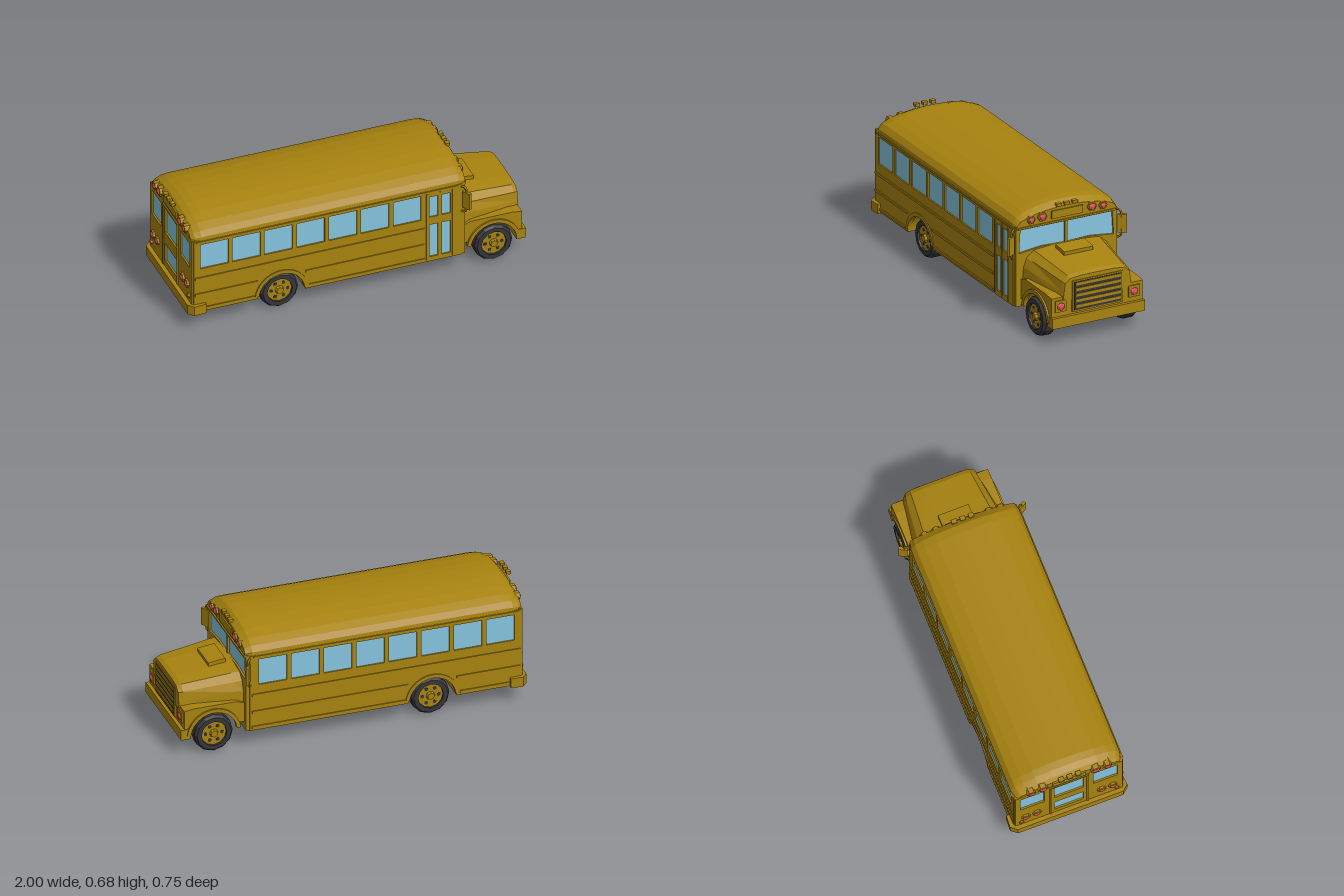
import * as THREE from 'three';

const mat = (color) => new THREE.MeshStandardMaterial({ color, flatShading: true });

export function createModel() {
  const bus = new THREE.Group();
  bus.name = 'schoolBus';
  const yellow = mat(0xa8830f), glass = mat(0x86c4de), dark = mat(0x36363b), red = mat(0xe0505c);

  const add = (name, geo, m = yellow, x = 0, y = 0, z = 0, parent = bus) => {
    const mesh = new THREE.Mesh(geo, m);
    mesh.name = name;
    mesh.position.set(x, y, z);
    parent.add(mesh);
    return mesh;
  };
  // Box given by its limits on each axis
  const box = (name, x0, x1, y0, y1, z0, z1, m = yellow) =>
    add(name, new THREE.BoxGeometry(x1 - x0, y1 - y0, z1 - z0), m, (x0 + x1) / 2, (y0 + y1) / 2, (z0 + z1) / 2);
  const poly = (pts) => new THREE.Shape(pts.map((p) => new THREE.Vector2(...p)));
  const rect = (a0, a1, b0, b1) => poly([[a0, b0], [a1, b0], [a1, b1], [a0, b1]]);
  const extrude = (shape, depth) => new THREE.ExtrudeGeometry(shape, { depth, bevelEnabled: false, curveSegments: 10 });
  // Skin through mirrored cross-sections: [x, [[z, y], ...]] from the lower edge up to the middle
  const loft = (stations) => {
    const rings = stations.map(([x, half]) =>
      [...half, ...half.slice().reverse().map(([z, y]) => [-z, y])].map(([z, y]) => [x, y, z]));
    const v = [], n = rings[0].length, last = rings.length - 1;
    for (let k = 0; k < last; k++) {
      for (let i = 0; i < n; i++) {
        const j = (i + 1) % n, a = rings[k], b = rings[k + 1];
        v.push(...a[i], ...b[i], ...a[j], ...b[i], ...b[j], ...a[j]);
      }
    }
    for (let i = 1; i < n - 1; i++) {
      v.push(...rings[0][0], ...rings[0][i], ...rings[0][i + 1]);
      v.push(...rings[last][0], ...rings[last][i + 1], ...rings[last][i]);
    }
    const g = new THREE.BufferGeometry();
    g.setAttribute('position', new THREE.Float32BufferAttribute(v, 3));
    g.computeVertexNormals();
    return g;
  };

  // Cabin with a rear wheel tunnel, and side skins with window openings
  const side = (x0, x1) => new THREE.Shape()
    .moveTo(x0, 0.105).lineTo(-0.59, 0.105).absarc(-0.45, 0.105, 0.14, Math.PI, 0, true)
    .lineTo(x1, 0.105).lineTo(x1, 0.57).lineTo(x0, 0.57);
  add('cabin', extrude(side(-0.96, 0.615), 0.616), yellow, 0, 0, -0.308);

  const sideWindow = (i) => [-0.927 + i * 0.189, -0.763 + i * 0.189, 0.387, 0.545];
  const doorPanes = [];
  for (const x of [0.42, 0.495]) doorPanes.push([x, x + 0.05, 0.395, 0.528], [x, x + 0.05, 0.134, 0.345]);
  for (const s of [1, -1]) {
    const panes = [...Array(s > 0 ? 7 : 8).keys()].map(sideWindow);
    if (s > 0) panes.push(...doorPanes);
    const skin = side(-0.965, 0.612);
    for (const p of panes) {
      skin.holes.push(rect(...p));
      box('sideWindow', ...p, s * 0.311 - 0.003, s * 0.311 + 0.003, glass);
    }
    add('sidePanel', extrude(skin, 0.014), yellow, 0, 0, s > 0 ? 0.308 : -0.322);

    // Rub rails, the lower ones broken by the wheel arch
    const end = s > 0 ? 0.39 : 0.6;
    const rails = [[0.325, -0.96, end], [0.22, -0.96, -0.59], [0.22, -0.31, end], [0.125, -0.9, -0.61], [0.125, -0.29, end]];
    for (const [y, x0, x1] of rails) box('rubRail', x0, x1, y - 0.007, y + 0.007, s * 0.324 - 0.004, s * 0.324 + 0.004);

    // Lips over the wheel arches
    for (const [x, z] of [[-0.45, 0.3], [0.81, 0.267]]) {
      const lip = new THREE.Shape().absarc(0, 0, 0.157, 0.12, Math.PI - 0.12, false).absarc(0, 0, 0.135, Math.PI - 0.12, 0.12, true);
      add('archLip', extrude(lip, 0.028), yellow, x, 0.105, s > 0 ? z : -z - 0.028);
    }
  }
  // Entrance door frame seams
  for (const x of [0.405, 0.4825, 0.557]) box('doorSeam', x - 0.004, x + 0.004, 0.115, 0.55, 0.32, 0.326);

  // Front and rear walls
  const wall = (w, holes, x) => {
    const s = rect(-w, w, 0.105, 0.575);
    for (const h of holes) s.holes.push(poly(h));
    return add(x > 0 ? 'frontWall' : 'rearWall', extrude(s, 0.02).rotateY(Math.PI / 2), yellow, x, 0, 0);
  };
  wall(0.316, [1, -1].map((s) => [[s * 0.008, 0.43], [s * 0.15, 0.435], [s * 0.295, 0.418], [s * 0.287, 0.558], [s * 0.008, 0.558]]), 0.611);
  for (const s of [1, -1]) box('windshield', 0.614, 0.62, 0.41, 0.565, s * 0.155 - 0.15, s * 0.155 + 0.15, glass);
  const rearPanes = [[-0.285, -0.145, 0.385, 0.54], [0.145, 0.285, 0.385, 0.54], [-0.085, 0.085, 0.385, 0.54], [-0.085, 0.085, 0.2, 0.31]];
  wall(0.316, rearPanes.map(([a, b, c, d]) => [[a, c], [b, c], [b, d], [a, d]]), -0.976);
  for (const [a, b, c, d] of rearPanes) box('rearWindow', -0.966, -0.959, c, d, a, b, glass);
  for (const s of [1, -1]) box('rearDoorFrame', -0.983, -0.974, 0.165, 0.56, s * 0.108 - 0.006, s * 0.108 + 0.006);
  box('rearDoorFrame', -0.983, -0.974, 0.554, 0.566, -0.114, 0.114);

  // Domed roof closing down at both ends
  const arch = [[0.322, 0], [0.318, 0.035], [0.296, 0.066], [0.25, 0.089], [0.18, 0.11], [0.09, 0.123], [0.03, 0.126]];
  const roof = [[-0.975, 0.93, 0.62], [-0.955, 0.97, 0.8], [-0.92, 1, 0.93], [-0.88, 1, 1], [0.55, 1, 1], [0.595, 0.995, 0.96], [0.635, 0.97, 0.74]];
  add('roof', loft(roof.map(([x, w, h]) => [x, arch.map(([z, y]) => [z * w, 0.557 + y * h])])));
  box('frontEave', 0.6, 0.643, 0.562, 0.572, -0.305, 0.305);
  for (const s of [1, -1]) box('gutter', -0.95, 0.59, 0.56, 0.568, s * 0.322 - 0.005, s * 0.322 + 0.005);

  // Warning lamps: hexagonal housing with a faceted lens
  const lamp = (name, x, y, z, r, dir) => {
    add(name + 'Housing', new THREE.CylinderGeometry(r, r * 1.15, 0.04, 6).rotateZ(-dir * Math.PI / 2), yellow, x, y, z);
    add(name + 'Lens', new THREE.IcosahedronGeometry(r * 0.8, 0).scale(0.5, 1, 1), red, x + dir * 0.019, y, z);
  };
  for (const s of [1, -1]) {
    for (const [x, dir] of [[0.625, 1], [-0.968, -1]]) {
      lamp('warningLamp', x, 0.607, s * 0.224, 0.025, dir);
      lamp('warningLamp', x, 0.614, s * 0.155, 0.029, dir);
    }
    for (const z of [0.19, 0.255]) lamp('tailLamp', -0.968, 0.265, s * z, 0.025, -1);
    lamp('tailLamp', -0.968, 0.2, s * 0.28, 0.013, -1);
  }
  for (const x of [0.637, -0.978]) {
    box('signPanel', x - 0.006, x + 0.006, 0.588, 0.634, -0.098, 0.098);
    for (const z of [-0.05, 0, 0.05]) box('markerLamp', x - 0.02, x + 0.005, 0.653, 0.671, z - 0.015, z + 0.015);
  }

  // Front fenders with a wheel tunnel, and the tapering hood above
  const fender = new THREE.Shape().moveTo(0.63, 0.15).lineTo(0.675, 0.15).absarc(0.81, 0.105, 0.142, Math.PI - 0.32, 0.32, true)
    .lineTo(0.98, 0.13).lineTo(0.98, 0.274).lineTo(0.92, 0.282).lineTo(0.68, 0.282).lineTo(0.63, 0.265);
  add('fenders', extrude(fender, 0.57), yellow, 0, 0, -0.285);
  add('hood', loft([
    [0.625, [[0.275, 0.26], [0.27, 0.33], [0.25, 0.385], [0.205, 0.422], [0.1, 0.432]]],
    [0.68, [[0.265, 0.26], [0.26, 0.33], [0.24, 0.38], [0.2, 0.417], [0.1, 0.427]]],
    [0.96, [[0.222, 0.26], [0.215, 0.3], [0.207, 0.355], [0.175, 0.386], [0.1, 0.395]]],
    [0.985, [[0.215, 0.25], [0.208, 0.3], [0.2, 0.35], [0.17, 0.375], [0.1, 0.383]]],
  ]));
  const scoop = box('hoodScoop', 0.67, 0.77, 0.41, 0.445, -0.09, 0.09);
  scoop.rotation.z = -0.12;

  // Grille, headlights and bumpers
  box('grilleSurround', 0.97, 0.99, 0.175, 0.36, -0.158, 0.158);
  box('grille', 0.98, 0.992, 0.184, 0.352, -0.148, 0.148, dark);
  for (let i = 0; i < 5; i++) box('grilleSlat', 0.985, 0.997, 0.199 + i * 0.033, 0.216 + i * 0.033, -0.14, 0.14);
  for (const s of [1, -1]) {
    box('headlightFrame', 0.97, 0.988, 0.19, 0.257, s * 0.229 - 0.034, s * 0.229 + 0.034);
    add('headlight', new THREE.IcosahedronGeometry(0.026, 0).scale(0.5, 1, 1), red, 0.986, 0.222, s * 0.229);
  }
  box('frontBumper', 0.945, 1, 0.1, 0.162, -0.29, 0.29);
  add('rearBumper', extrude(poly([[-0.34, 0.9], [0.34, 0.9], [0.345, 0.97], [0.31, 1], [-0.31, 1], [-0.345, 0.97]]), 0.058)
    .rotateX(-Math.PI / 2).rotateY(Math.PI / 2), yellow, 0, 0.1, 0);

  // Mirrors on bent brackets
  for (const s of [1, -1]) {
    const path = new THREE.CatmullRomCurve3([[0.6, 0.55, 0.305], [0.618, 0.556, 0.33], [0.63, 0.54, 0.342], [0.63, 0.41, 0.342],
      [0.618, 0.39, 0.33], [0.6, 0.395, 0.305]].map(([x, y, z]) => new THREE.Vector3(x, y, s * z)), false, 'catmullrom', 0.2);
    add('mirrorBracket', new THREE.TubeGeometry(path, 20, 0.007, 5), yellow);
    const mirror = box('mirror', 0.622, 0.64, 0.42, 0.525, s * 0.348 - 0.026, s * 0.348 + 0.026);
    mirror.rotation.y = s * 0.5;
  }

  // Wheels with dished rims, and axles
  const tyre = new THREE.LatheGeometry([[0.07, -0.043], [0.1, -0.043], [0.112, -0.028], [0.112, 0.028], [0.1, 0.043], [0.074, 0.043], [0.07, 0.02]]
    .map((p) => new THREE.Vector2(...p)), 12).rotateX(Math.PI / 2);
  const rim = new THREE.CylinderGeometry(0.073, 0.073, 0.066, 12).rotateX(Math.PI / 2);
  const hub = new THREE.CylinderGeometry(0.02, 0.028, 0.02, 8).rotateX(Math.PI / 2);
  const hole = new THREE.CylinderGeometry(0.011, 0.011, 0.006, 6).rotateX(Math.PI / 2);
  for (const x of [-0.45, 0.81]) {
    add('axle', new THREE.CylinderGeometry(0.034, 0.034, 0.46, 8).rotateX(Math.PI / 2), yellow, x, 0.112, 0);
    for (const s of [1, -1]) {
      const wheel = new THREE.Group();
      wheel.name = 'wheel';
      wheel.position.set(x, 0.112, s * 0.255);
      if (s < 0) wheel.rotation.y = Math.PI;
      add('tyre', tyre, dark, 0, 0, 0, wheel);
      add('rim', rim, yellow, 0, 0, 0, wheel);
      add('hub', hub, yellow, 0, 0, 0.038, wheel);
      for (let i = 0; i < 6; i++) {
        const a = (i * Math.PI) / 3;
        add('rimHole', hole, dark, Math.cos(a) * 0.048, Math.sin(a) * 0.048, 0.032, wheel);
      }
      bus.add(wheel);
    }
  }
  return bus;
}
